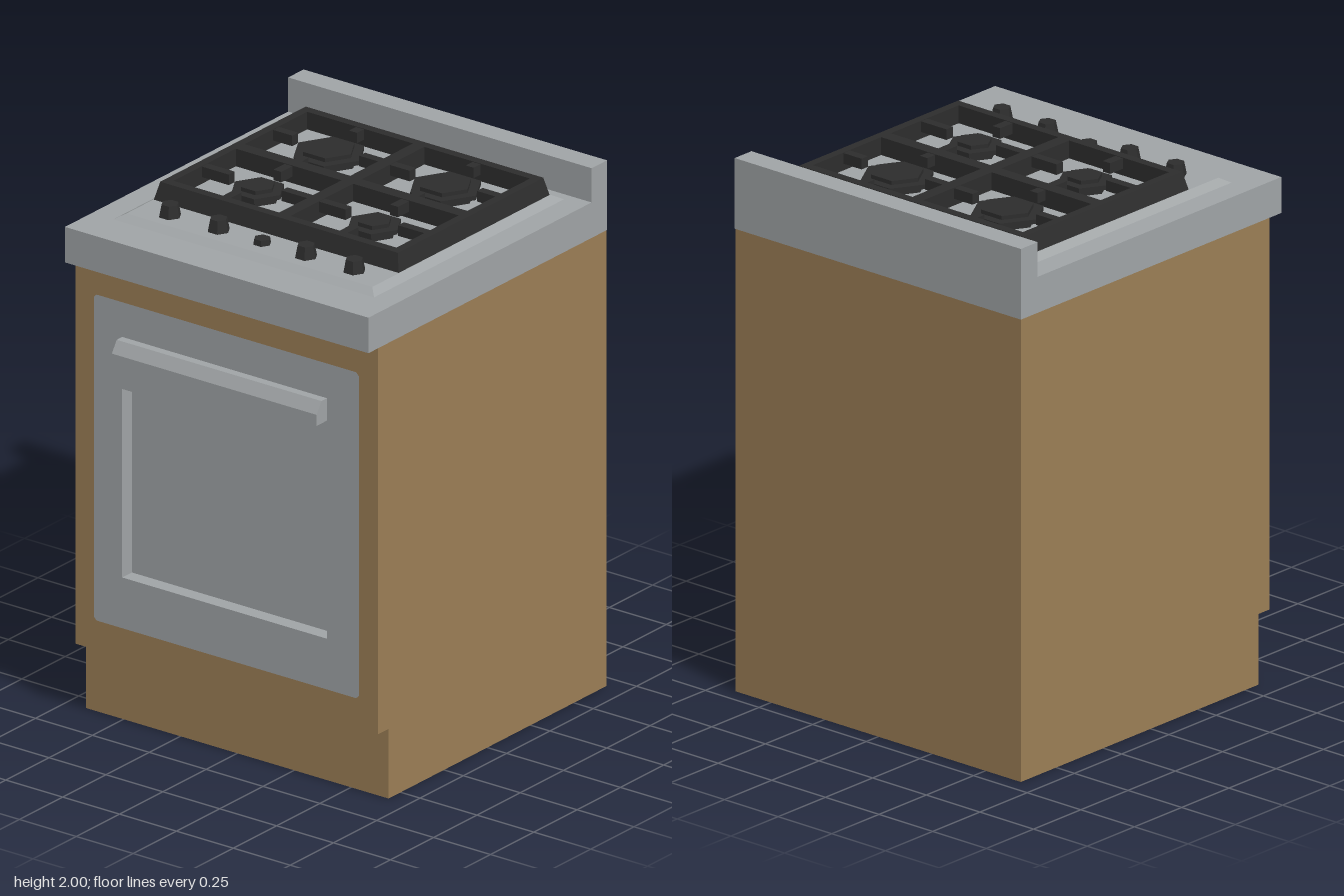
import * as THREE from 'three';

const mat = (name, color) => {
  const m = new THREE.MeshStandardMaterial({ color, flatShading: true });
  m.name = name;
  return m;
};

// Box given by its limits; insets pull the top edges inwards: [left, right, back, front]
function block(x0, x1, y0, y1, z0, z1, insets = [0, 0, 0, 0]) {
  const g = new THREE.BoxGeometry(1, 1, 1);
  const p = g.attributes.position;
  for (let i = 0; i < p.count; i++) {
    const top = p.getY(i) > 0 ? 1 : 0;
    p.setXYZ(i,
      p.getX(i) < 0 ? x0 + top * insets[0] : x1 - top * insets[1],
      top ? y1 : y0,
      p.getZ(i) < 0 ? z0 + top * insets[2] : z1 - top * insets[3]);
  }
  g.computeVertexNormals();
  return g;
}

// Rectangle outline with corners cut by c
function outline(Type, x0, x1, y0, y1, c = 0) {
  const pts = c
    ? [[x0 + c, y0], [x1 - c, y0], [x1, y0 + c], [x1, y1 - c], [x1 - c, y1], [x0 + c, y1], [x0, y1 - c], [x0, y0 + c]]
    : [[x0, y0], [x1, y0], [x1, y1], [x0, y1]];
  return new Type(pts.map(([x, y]) => new THREE.Vector2(x, y)));
}

// Six-sided disc with corners pointing along x
function hex(rTop, rBottom, x, y0, y1, z) {
  return new THREE.CylinderGeometry(rTop, rBottom, y1 - y0, 6)
    .rotateY(Math.PI / 2).translate(x, (y0 + y1) / 2, z);
}

export function createModel() {
  const model = new THREE.Group();
  model.name = 'cooker';
  const wood = mat('wood', 0x9b7e55);
  const steel = mat('steel', 0xa0a4a6);
  const iron = mat('castIron', 0x2d2d2d);
  const add = (name, geometry, material, parent = model) => {
    const m = new THREE.Mesh(geometry, material);
    m.name = name;
    parent.add(m);
    return m;
  };
  const group = (name) => {
    const g = new THREE.Group();
    g.name = name;
    model.add(g);
    return g;
  };

  // Cabinet with a set-back plinth, and a front slab open for the door
  add('cabinet', block(-0.665, 0.665, 0, 1.735, -0.687, 0.57), wood);
  const slab = outline(THREE.Shape, -0.665, 0.665, 0.265, 1.735);
  slab.holes.push(outline(THREE.Path, -0.585, 0.58, 0.377, 1.617, 0.012));
  const flat = { depth: 0.06, bevelEnabled: false };
  add('cabinetFront', new THREE.ExtrudeGeometry(slab, flat).translate(0, 0, 0.57), wood);

  // Flush oven door with a recessed window
  const door = outline(THREE.Shape, -0.585, 0.58, 0.377, 1.617, 0.012);
  door.holes.push(outline(THREE.Path, -0.46, 0.44, 0.57, 1.287));
  add('ovenDoor', new THREE.ExtrudeGeometry(door, flat).translate(0, 0, 0.57), steel);
  add('ovenWindow', block(-0.46, 0.44, 0.57, 1.287, 0.568, 0.574), steel);

  // Door handle: chamfered profile run along x
  const grip = new THREE.Shape([[0.625, 1.4], [0.69, 1.4], [0.69, 1.442], [0.662, 1.485], [0.625, 1.485]]
    .map(([z, y]) => new THREE.Vector2(z, y)));
  add('doorHandle', new THREE.ExtrudeGeometry(grip, { depth: 0.9, bevelEnabled: false })
    .rotateY(-Math.PI / 2).translate(0.44, 0, 0), steel);

  // Worktop, upstand and raised hob tray
  add('worktop', block(-0.667, 0.667, 1.735, 1.87, -0.689, 0.689), steel);
  add('upstand', block(-0.667, 0.667, 1.87, 2, -0.689, -0.6), steel);
  add('hobTray', block(-0.573, 0.573, 1.87, 1.89, -0.564, 0.533, [0.033, 0.033, 0.034, 0.033]), steel);

  // Pan support: sloped outer frame and two crossing bars
  const grate = group('panSupport');
  const y0 = 1.89, y1 = 1.957, s = 0.016;
  add('frameLeft', block(0.49, 0.538, y0, y1, -0.527, 0.345, [0, s, s, s]), iron, grate);
  add('frameRight', block(-0.538, -0.49, y0, y1, -0.527, 0.345, [s, 0, s, s]), iron, grate);
  add('frameBack', block(-0.53, 0.53, y0, y1, -0.527, -0.477, [s, s, s, 0]), iron, grate);
  add('frameFront', block(-0.53, 0.53, y0, y1, 0.295, 0.345, [s, s, 0, s]), iron, grate);
  add('middleBar', block(-0.025, 0.025, y0, y1, -0.48, 0.3), iron, grate);
  add('crossBar', block(-0.495, 0.495, y0, y1, -0.115, -0.065), iron, grate);

  // Fingers reaching in towards each burner
  const f0 = 1.915, f1 = 1.955, w = 0.017;
  for (const x of [-0.258, 0.255]) {
    add('fingerBack', block(x - w, x + w, f0, f1, -0.48, -0.437), iron, grate);
    add('fingerMiddle', block(x - w, x + w, f0, f1, -0.157, 0), iron, grate);
    add('fingerFront', block(x - w, x + w, f0, f1, 0.228, 0.3), iron, grate);
  }
  for (const [z, inner, outer] of [[-0.297, 0.111, 0.406], [0.113, 0.141, 0.372]]) {
    add('fingerCentre', block(-inner, inner, f0, f1, z - w, z + w), iron, grate);
    add('fingerLeft', block(outer, 0.495, f0, f1, z - w, z + w), iron, grate);
    add('fingerRight', block(-0.495, -outer, f0, f1, z - w, z + w), iron, grate);
  }

  // Four burners, the large pair at the back
  const burners = group('burners');
  for (const x of [-0.258, 0.255]) {
    for (const [z, r, cap] of [[-0.297, 0.134, 0.097], [0.113, 0.1, 0.063]]) {
      add('burnerBase', hex(r * 0.8, r * 0.8, x, 1.888, 1.912, z), iron, burners);
      add('burnerRing', hex(r, r, x, 1.91, 1.927, z), iron, burners);
      add('burnerCap', hex(cap, cap, x, 1.925, 1.942, z), iron, burners);
    }
  }

  // Control knobs with a low button in the middle
  const knobs = group('knobs');
  for (const x of [-0.407, -0.193, 0.191, 0.403]) {
    add('knob', hex(0.032, 0.042, x, 1.888, 1.937, 0.424), iron, knobs);
  }
  add('ignitionButton', hex(0.03, 0.034, -0.002, 1.888, 1.911, 0.424), iron, knobs);

  return model;
}
